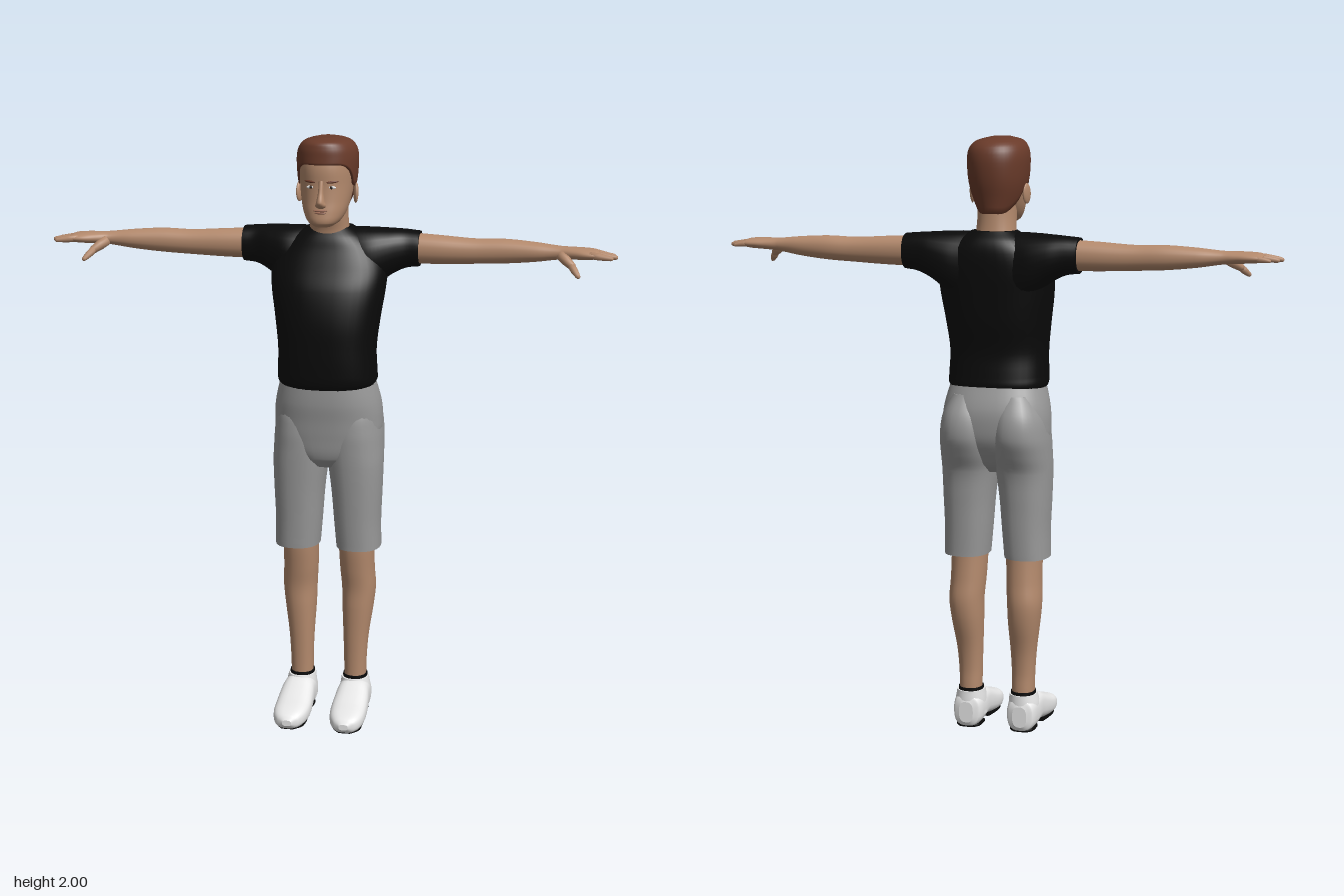
import * as THREE from 'three';

const flat = (name, color) => Object.assign(new THREE.MeshStandardMaterial({ color }), { name });

// Smooth interpolation of table rows, keyed by their first number
function sample(rows, t) {
  let i = 1;
  while (i < rows.length - 1 && rows[i][0] < t) i++;
  const a = rows[i - 1], b = rows[i], h = b[0] - a[0], k = (t - a[0]) / h;
  const slope = (j, c) => {
    const p = rows[Math.max(j - 1, 0)], n = rows[Math.min(j + 1, rows.length - 1)];
    return (n[c] - p[c]) / (n[0] - p[0]);
  };
  return a.map((_, c) => c === 0 ? t :
    a[c] * (1 + 2 * k) * (1 - k) ** 2 + b[c] * k * k * (3 - 2 * k) +
    h * (slope(i - 1, c) * k * (1 - k) ** 2 - slope(i, c) * k * k * (1 - k)));
}

const power = (v, p) => Math.sign(v) * Math.abs(v) ** (2 / p);

// Joins closed rings of points into a smooth skin; ends are closed with fans
function skin(rings) {
  const n = rings[0].length, pos = rings.flat(2), idx = [];
  for (let r = 0; r < rings.length - 1; r++) {
    for (let s = 0; s < n; s++) {
      const a = r * n + s, b = r * n + (s + 1) % n, c = a + n, d = b + n;
      idx.push(a, c, b, b, c, d);
    }
  }
  [rings[0], rings[rings.length - 1]].forEach((ring, end) => {
    const base = pos.length / 3;
    pos.push(...ring.flat(), ...[0, 1, 2].map(c => ring.reduce((sum, q) => sum + q[c], 0) / n));
    for (let s = 0; s < n; s++) {
      const a = base + s, b = base + (s + 1) % n;
      if (end) idx.push(a, base + n, b); else idx.push(a, b, base + n);
    }
  });
  const g = new THREE.BufferGeometry();
  g.setAttribute('position', new THREE.Float32BufferAttribute(pos, 3));
  g.setIndex(idx);
  g.computeVertexNormals();
  return g;
}

// Axis orders: rows hold [t, uMin, uMax, vMin, vMax]
const UP = (t, u, v) => [u, t, v];     // y, then x and z extents
const SIDE = (t, u, v) => [t, v, u];   // x, then z and y extents
const AHEAD = (t, u, v) => [v, u, t];  // z, then y and x extents

function loft(rows, map, p = 2.2, segs = 28, steps = 5) {
  const rings = [];
  for (let i = 0; i <= (rows.length - 1) * steps; i++) {
    const j = Math.min(Math.floor(i / steps), rows.length - 2);
    const t = rows[j][0] + (rows[j + 1][0] - rows[j][0]) * (i / steps - j);
    const [, u0, u1, v0, v1] = sample(rows, t);
    rings.push(Array.from({ length: segs }, (_, s) => {
      const q = s / segs * Math.PI * 2;
      return map(t, (u0 + u1) / 2 + (u1 - u0) / 2 * power(Math.cos(q), p),
        (v0 + v1) / 2 + (v1 - v0) / 2 * power(Math.sin(q), p));
    }));
  }
  return skin(rings);
}

// Rows [y, halfWidth, zBack, zFront] for parts symmetric in x
const symmetric = rows => rows.map(([y, w, b, f]) => [y, -w, w, b, f]);

// Tapered rounded digit from a to b
function digit(a, b, r0, r1) {
  const A = new THREE.Vector3(...a), d = new THREE.Vector3(...b).sub(A), L = d.length();
  const prof = [[0, 0], [r0, 0], [r0, L * 0.4], [r1, L - r1], [r1 * 0.7, L - r1 * 0.3], [0, L]];
  const g = new THREE.LatheGeometry(prof.map(q => new THREE.Vector2(...q)), 10);
  g.applyQuaternion(new THREE.Quaternion().setFromUnitVectors(new THREE.Vector3(0, 1, 0), d.normalize()));
  return g.translate(A.x, A.y, A.z);
}

function ball(x, y, z, sx, sy, sz) {
  return new THREE.SphereGeometry(1, 16, 12).scale(sx, sy, sz).translate(x, y, z);
}

function mirrored(g) {
  const m = g.clone().scale(-1, 1, 1), ix = m.index.array;
  for (let i = 0; i < ix.length; i += 3) [ix[i], ix[i + 1]] = [ix[i + 1], ix[i]];
  return m;
}

// Hair shell whose lower edge follows a hairline round the head
function hairGeometry() {
  const rows = [[1.75, 0.06, -0.13, 0.088], [1.8, 0.081, -0.14, 0.09], [1.85, 0.094, -0.152, 0.09],
    [1.9, 0.099, -0.158, 0.094], [1.94, 0.099, -0.157, 0.093], [1.97, 0.09, -0.146, 0.09],
    [1.99, 0.068, -0.115, 0.078], [2.0, 0.03, -0.06, 0.04]];
  const line = [[0, 1.918], [0.7, 1.915], [1.1, 1.89], [1.35, 1.845], [1.6, 1.84], [1.9, 1.79], [2.4, 1.757], [3.15, 1.755]];
  const rings = [], n = 48, m = 18;
  for (let r = -1; r <= m; r++) {
    rings.push(Array.from({ length: n }, (_, s) => {
      const q = s / n * Math.PI * 2;
      const low = sample(line, Math.acos(Math.max(-1, Math.min(1, Math.sin(q)))))[1];
      const k = Math.max(r, 0) / m, y = low + (2 - low) * (1 - (1 - k) ** 1.6);
      const [, w, b, f] = sample(rows, y), in_ = r < 0 ? 0.88 : 1;
      return [w * in_ * power(Math.cos(q), 2.2), y, (b + f) / 2 + (f - b) / 2 * in_ * power(Math.sin(q), 2.2)];
    }));
  }
  return skin(rings);
}

export function createModel() {
  const body = flat('skin', 0xb48a6d), black = flat('black cloth', 0x0a0a0a), grey = flat('grey cloth', 0x999999);
  const hair = flat('hair', 0x6a3b2a), white = flat('white leather', 0xf0f0f0);
  const lip = flat('lip', 0x9a6a56), dark = flat('iris', 0x2a211c);
  const model = new THREE.Group();
  const add = (name, g, mat) => {
    const mesh = new THREE.Mesh(g, mat);
    mesh.name = name;
    model.add(mesh);
  };
  const pair = (name, g, mat) => {
    add(name + 'Left', g, mat);
    add(name + 'Right', mirrored(g), mat);
  };

  // Head and neck
  add('head', loft(symmetric([[1.716, 0.03, 0.0, 0.085], [1.73, 0.051, -0.03, 0.099], [1.76, 0.069, -0.07, 0.098],
    [1.8, 0.08, -0.105, 0.092], [1.85, 0.087, -0.135, 0.089], [1.9, 0.09, -0.148, 0.09],
    [1.94, 0.088, -0.148, 0.082], [1.97, 0.074, -0.13, 0.065], [1.985, 0.045, -0.1, 0.035]]), UP, 2.2, 40), body);
  add('neck', loft(symmetric([[1.62, 0.075, -0.14, 0.0], [1.69, 0.066, -0.127, 0.004],
    [1.74, 0.063, -0.122, 0.02], [1.8, 0.063, -0.12, 0.03]]), UP), body);
  add('hair', hairGeometry(), hair);

  // Face
  add('nose', loft(symmetric([[1.776, 0.009, 0.07, 0.094], [1.786, 0.018, 0.07, 0.109], [1.8, 0.014, 0.07, 0.117],
    [1.83, 0.009, 0.07, 0.104], [1.868, 0.009, 0.07, 0.092]]), UP, 2, 16), body);
  add('upperLip', ball(0, 1.771, 0.095, 0.024, 0.004, 0.006), lip);
  add('lowerLip', ball(0, 1.764, 0.096, 0.019, 0.004, 0.006), lip);
  pair('eye', ball(0.035, 1.846, 0.082, 0.014, 0.005, 0.004), white);
  pair('iris', ball(0.034, 1.846, 0.0845, 0.005, 0.005, 0.003), dark);
  pair('eyebrow', ball(0, 0, 0, 0.02, 0.004, 0.005).rotateY(0.35).rotateZ(0.08).translate(0.037, 1.864, 0.083), hair);
  pair('ear', ball(0, 0, 0, 0.008, 0.034, 0.021).rotateY(0.3).rotateX(-0.15).translate(0.094, 1.816, -0.028), body);

  // Shirt: trunk plus a yoke running from sleeve to sleeve
  add('shirtTrunk', loft(symmetric([[1.172, 0.155, -0.15, 0.088], [1.19, 0.166, -0.16, 0.097], [1.22, 0.166, -0.158, 0.102],
    [1.3, 0.164, -0.152, 0.106], [1.4, 0.175, -0.17, 0.105], [1.5, 0.19, -0.18, 0.086], [1.57, 0.192, -0.185, 0.055],
    [1.63, 0.165, -0.184, 0.028], [1.67, 0.12, -0.172, 0.012], [1.698, 0.075, -0.145, -0.01]]), UP, 2.4, 40), black);
  const yoke = [[0, -0.17, 0.0, 1.45, 1.675], [0.08, -0.175, 0.005, 1.46, 1.694], [0.14, -0.182, 0.005, 1.49, 1.694],
    [0.2, -0.178, -0.018, 1.535, 1.691], [0.25, -0.168, -0.042, 1.56, 1.688], [0.297, -0.16, -0.047, 1.567, 1.684]];
  pair('shirtSleeve', loft(yoke, SIDE, 2.3), black);

  // Arms and hands
  pair('arm', loft([[0.24, -0.155, -0.055, 1.575, 1.678], [0.36, -0.149, -0.054, 1.577, 1.672],
    [0.48, -0.141, -0.057, 1.582, 1.665], [0.58, -0.139, -0.055, 1.587, 1.667], [0.68, -0.128, -0.051, 1.597, 1.661],
    [0.76, -0.113, -0.05, 1.609, 1.653], [0.8, -0.114, -0.036, 1.612, 1.652], [0.84, -0.118, -0.02, 1.614, 1.651],
    [0.875, -0.117, -0.016, 1.617, 1.648], [0.892, -0.11, -0.022, 1.624, 1.642]], SIDE), body);
  [[-0.105, -0.11, 0.92, 0.009], [-0.08, -0.077, 0.943, 0.0105], [-0.054, -0.046, 0.951, 0.011], [-0.03, -0.018, 0.938, 0.0105]]
    .forEach(([z0, z1, tip, r], i) => pair('finger' + (i + 1),
      digit([0.86, 1.634, z0], [tip, 1.626, z1], r + 0.001, r - 0.003), body));
  pair('thumbBase', digit([0.765, 1.627, -0.055], [0.815, 1.59, -0.014], 0.017, 0.013), body);
  pair('thumbTip', digit([0.803, 1.599, -0.022], [0.832, 1.566, 0.014], 0.012, 0.008), body);

  // Shorts
  add('shortsHips', loft(symmetric([[0.895, 0.05, -0.1, 0.035], [0.93, 0.12, -0.135, 0.06], [1.0, 0.176, -0.175, 0.072],
    [1.06, 0.182, -0.186, 0.079], [1.12, 0.176, -0.183, 0.087], [1.2, 0.156, -0.155, 0.088]]), UP, 2.4, 40), grey);
  pair('shortsLeg', loft([[0.605, 0.03, 0.181, -0.133, 0.043], [0.7, 0.022, 0.18, -0.137, 0.049],
    [0.8, 0.014, 0.184, -0.142, 0.056], [0.9, 0.002, 0.187, -0.152, 0.063], [0.96, -0.005, 0.186, -0.178, 0.066],
    [1.02, -0.003, 0.183, -0.2, 0.067], [1.09, 0.008, 0.172, -0.195, 0.058], [1.16, 0.03, 0.14, -0.16, 0.02]], UP, 2.3), grey);

  // Legs
  pair('leg', loft([[0.07, 0.058, 0.13, -0.092, -0.008], [0.13, 0.056, 0.131, -0.095, -0.009],
    [0.2, 0.055, 0.133, -0.094, -0.008], [0.28, 0.052, 0.139, -0.104, -0.005], [0.38, 0.047, 0.153, -0.129, -0.001],
    [0.45, 0.045, 0.16, -0.137, 0.0], [0.52, 0.04, 0.157, -0.13, 0.01], [0.6, 0.037, 0.156, -0.124, 0.021],
    [0.68, 0.035, 0.156, -0.122, 0.025]], UP), body);

  // Socks and shoes
  pair('sock', loft([[0.09, 0.051, 0.136, -0.1, -0.003], [0.137, 0.052, 0.135, -0.099, -0.005]], UP), black);
  pair('shoeCollar', loft([[0.04, 0.042, 0.148, -0.106, 0.02], [0.09, 0.043, 0.147, -0.106, 0.014],
    [0.127, 0.047, 0.14, -0.104, 0.003]], UP), white);
  pair('shoe', loft([[-0.107, 0.018, 0.09, 0.07, 0.12], [-0.098, 0.004, 0.11, 0.05, 0.14], [-0.05, 0.004, 0.123, 0.042, 0.149],
    [0.0, 0.014, 0.124, 0.04, 0.152], [0.04, 0.01, 0.108, 0.037, 0.156], [0.1, 0.003, 0.084, 0.035, 0.158],
    [0.15, 0.003, 0.07, 0.042, 0.154], [0.185, 0.006, 0.056, 0.06, 0.138], [0.2, 0.02, 0.04, 0.082, 0.114]], AHEAD, 2.7), white);
  pair('heelSole', loft([[-0.098, 0, 0.01, 0.068, 0.122], [-0.08, 0, 0.012, 0.054, 0.136],
    [-0.03, 0, 0.016, 0.052, 0.138]], AHEAD, 5), black);
  pair('frontSole', loft([[0.03, 0.002, 0.018, 0.052, 0.142], [0.1, 0, 0.01, 0.048, 0.146], [0.15, 0, 0.01, 0.053, 0.143],
    [0.182, 0.002, 0.012, 0.075, 0.122]], AHEAD, 5), black);
  return model;
}
